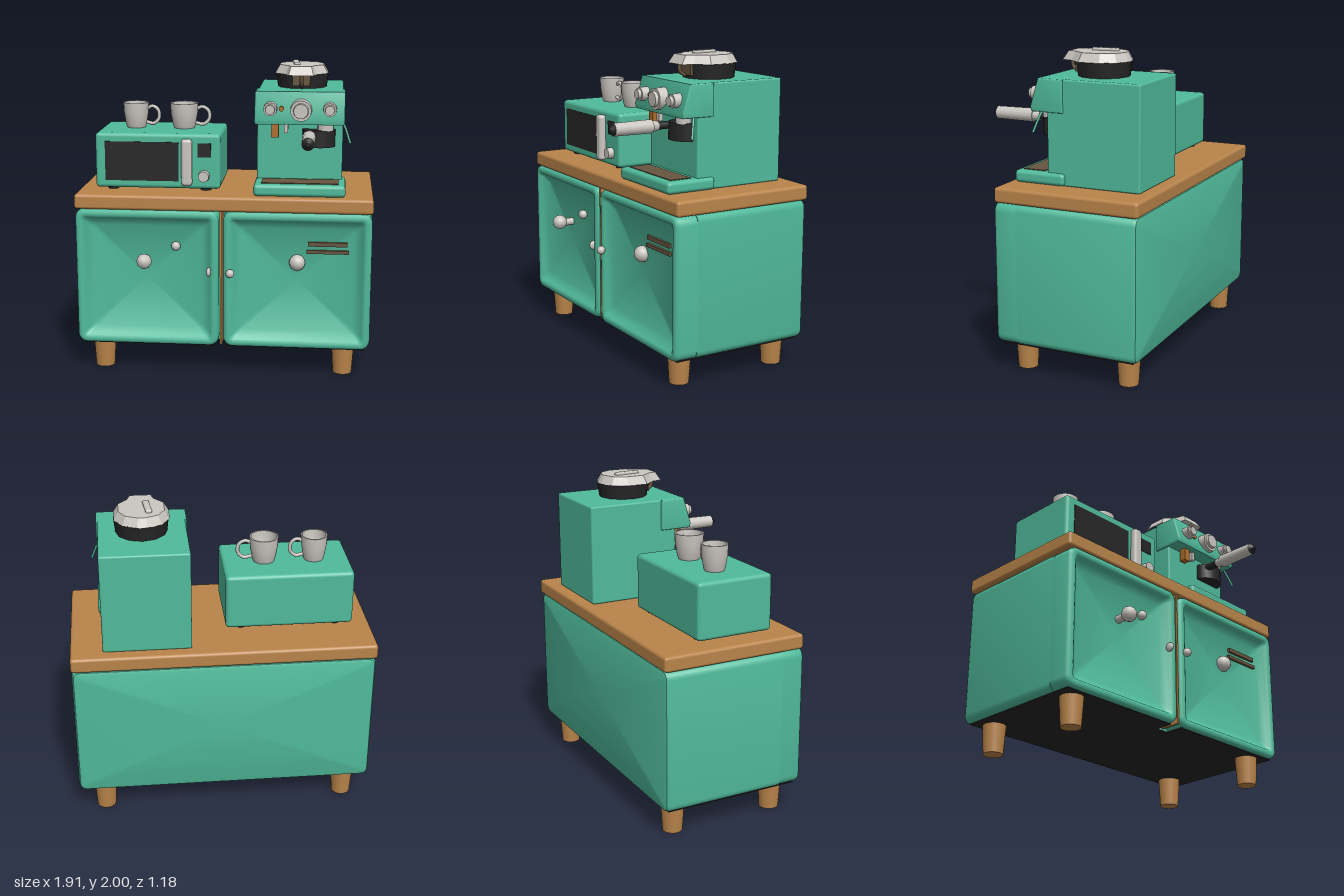
import * as THREE from 'three';
import { toCreasedNormals } from 'three/addons/utils/BufferGeometryUtils.js';
import { RoundedBoxGeometry } from 'three/addons/geometries/RoundedBoxGeometry.js';

const material = (name, color, side = THREE.FrontSide) => {
  const m = new THREE.MeshStandardMaterial({ color, side });
  m.name = name;
  return m;
};

export function createModel() {
  const root = new THREE.Group();
  root.name = 'coffeeStation';
  const green = material('mint green', 0x50ba9a);
  const wood = material('wood', 0xb9844a);
  const white = material('off white', 0xcac6c0, THREE.DoubleSide);
  const black = material('black', 0x262626);
  const brown = material('dark brown', 0x66553f);
  const orange = material('amber', 0xb06f2c);

  const add = (name, geometry, mat, x = 0, y = 0, z = 0, parent = root) => {
    const mesh = new THREE.Mesh(geometry, mat);
    mesh.name = name;
    mesh.position.set(x, y, z);
    parent.add(mesh);
    return mesh;
  };
  // Box given by its extents; r rounds the edges
  const box = (name, mat, [x0, x1], [y0, y1], [z0, z1], r = 0) => {
    const s = [x1 - x0, y1 - y0, z1 - z0];
    const g = r ? new RoundedBoxGeometry(...s, 3, r) : new THREE.BoxGeometry(...s);
    return add(name, g, mat, (x0 + x1) / 2, (y0 + y1) / 2, (z0 + z1) / 2);
  };
  // Cylinder lying along z
  const rod = (name, mat, x, y, z0, z1, r0, r1 = r0, sides = 20) => {
    const g = new THREE.CylinderGeometry(r1, r0, z1 - z0, sides).rotateX(Math.PI / 2);
    return add(name, g, mat, x, y, (z0 + z1) / 2);
  };
  const ball = (name, x, y, z, r, sx = 1) =>
    add(name, new THREE.SphereGeometry(r, 16, 12), white, x, y, z).scale.set(sx, 1, 1);

  // Rounded rectangle rings [inset, z] joined from back to front and capped
  const shell = (name, mat, x0, x1, y0, y1, radius, rings) => {
    const pos = [], index = [], n = 24, cx = (x0 + x1) / 2, cy = (y0 + y1) / 2;
    for (const [inset, z] of rings) {
      const r = Math.max(radius - inset, 0.025);
      const hx = (x1 - x0) / 2 - inset - r, hy = (y1 - y0) / 2 - inset - r;
      for (let i = 0; i < n; i++) {
        const q = Math.floor(i / 6), a = (q + (i % 6) / 5) * Math.PI / 2;
        pos.push(cx + (q === 0 || q === 3 ? hx : -hx) + r * Math.cos(a),
          cy + (q < 2 ? hy : -hy) + r * Math.sin(a), z);
      }
    }
    for (let k = 0; k < rings.length - 1; k++) {
      for (let i = 0; i < n; i++) {
        const a = k * n + i, b = k * n + (i + 1) % n;
        index.push(a, b, b + n, a, b + n, a + n);
      }
    }
    const last = (rings.length - 1) * n;
    const back = pos.length / 3;
    pos.push(cx, cy, rings[0][1], cx, cy, rings.at(-1)[1]);
    for (let i = 0; i < n; i++) {
      const j = (i + 1) % n;
      index.push(back, j, i, back + 1, last + i, last + j);
    }
    const g = new THREE.BufferGeometry();
    g.setAttribute('position', new THREE.Float32BufferAttribute(pos, 3));
    g.setIndex(index);
    return add(name, toCreasedNormals(g, 0.8), mat);
  };

  // Cabinet with two dished doors
  shell('cabinetBody', green, -0.955, 0.95, 0.19, 1.09, 0.05,
    [[0.03, -0.58], [0.01, -0.573], [0, -0.55], [0, 0.22]]);
  const doorRings = [[0, 0.22], [0, 0.345], [0.007, 0.363], [0.022, 0.37], [0.04, 0.37],
    [0.052, 0.362], [0.065, 0.34], [0.11, 0.312]];
  shell('leftDoor', green, 0.003, 0.95, 0.19, 1.09, 0.06, doorRings);
  shell('rightDoor', green, -0.955, -0.027, 0.19, 1.09, 0.06, doorRings);
  box('centreStrip', wood, [-0.018, -0.004], [0.2, 1.09], [0.2, 0.355]);
  box('underside', black, [-0.92, 0.915], [0.185, 0.192], [-0.55, 0.22]);
  for (const [a, b] of [[-0.92, -0.06], [0.035, 0.915]]) {
    box('doorUnderside', black, [a, b], [0.185, 0.192], [0.22, 0.34]);
  }
  box('countertop', wood, [-0.96, 0.955], [1.088, 1.185], [-0.59, 0.365], 0.02);
  for (const x of [-0.8, 0.78]) {
    for (const z of [0.24, -0.46]) {
      add('leg', new THREE.CylinderGeometry(0.074, 0.062, 0.19, 20), wood, x, 0.095, z);
    }
  }

  // Door knobs and bars
  rod('knobStem', white, -0.5, 0.76, 0.31, 0.4, 0.025);
  add('faceted knob', new THREE.IcosahedronGeometry(0.05, 1), white, -0.5, 0.765, 0.41);
  ball('smallKnob', -0.305, 0.85, 0.33, 0.03);
  ball('edgeKnob', -0.09, 0.69, 0.365, 0.03, 0.5);
  ball('edgeKnob', 0.05, 0.69, 0.385, 0.028);
  ball('roundKnob', 0.477, 0.758, 0.325, 0.052);
  box('doorBar', brown, [0.545, 0.795], [0.868, 0.895], [0.3, 0.33]);
  box('doorBar', brown, [0.535, 0.805], [0.82, 0.842], [0.3, 0.33]);

  // Microwave
  box('microwaveBody', green, [-0.845, -0.03], [1.2, 1.56], [-0.31, 0.2], 0.025);
  box('microwaveWindow', black, [-0.78, -0.3], [1.25, 1.505], [0.197, 0.204]);
  box('microwaveHandle', white, [-0.28, -0.21], [1.225, 1.53], [0.19, 0.245], 0.022);
  box('microwaveDisplay', black, [-0.175, -0.09], [1.41, 1.5], [0.197, 0.205]);
  rod('microwaveKnob', white, -0.135, 1.288, 0.195, 0.24, 0.038, 0.034);
  for (const x of [-0.74, -0.13]) {
    for (const z of [-0.24, 0.13]) {
      add('microwaveFoot', new THREE.CylinderGeometry(0.035, 0.035, 0.03, 12), black, x, 1.195, z);
    }
  }

  // Mugs
  const mug = (x, z, r) => {
    const g = new THREE.Group();
    g.name = 'mug';
    g.position.set(x, 1.56, z);
    root.add(g);
    const profile = [[0, 0], [0.74, 0], [0.82, 0.02], [0.97, 0.1], [1, 0.165], [0.9, 0.165],
      [0.85, 0.1], [0.7, 0.03], [0, 0.025]].map(([a, y]) => new THREE.Vector2(a * r, y));
    add('mugCup', toCreasedNormals(new THREE.LatheGeometry(profile, 28), 0.6), white, 0, 0, 0, g);
    const path = new THREE.CatmullRomCurve3([[0.9, 0.125], [1.3, 0.14], [1.75, 0.115], [1.8, 0.06],
      [1.4, 0.025], [0.8, 0.035]].map(([a, y]) => new THREE.Vector3(a * r, y, 0)));
    add('mugHandle', new THREE.TubeGeometry(path, 20, 0.012, 8), white, 0, 0, 0, g);
  };
  mug(-0.617, -0.073, 0.084);
  mug(-0.295, -0.07, 0.092);

  // Coffee machine: body, sloping head, base
  box('machineBody', green, [0.2, 0.752], [1.185, 1.835], [-0.515, 0.1], 0.012);
  const side = new THREE.Shape([[0.0, 1.64], [0.195, 1.64], [0.2, 1.66], [0.15, 1.825], [0, 1.825]]
    .map(p => new THREE.Vector2(...p)));
  const head = new THREE.ExtrudeGeometry(side,
    { depth: 0.55, bevelEnabled: true, bevelSize: 0.01, bevelThickness: 0.012, bevelSegments: 3 });
  head.rotateY(-Math.PI / 2);
  add('machineHead', toCreasedNormals(head, 0.6), green, 0.75);
  box('machineBase', green, [0.19, 0.775], [1.185, 1.262], [-0.02, 0.32], 0.025);
  box('dripTray', brown, [0.24, 0.73], [1.258, 1.267], [0.13, 0.275]);

  // Controls
  for (const [x, y, r, z] of [[0.29, 1.73, 0.045, 0.235], [0.485, 1.722, 0.07, 0.24], [0.667, 1.73, 0.045, 0.235]]) {
    rod('controlDial', white, x, y, 0.16, z, r, r * 0.94, 24);
    rod('dialCap', white, x, y, z, z + 0.02, r * 0.7, r * 0.65, 24);
  }
  rod('indicator', orange, 0.36, 1.73, 0.17, 0.205, 0.016);
  box('waterSpout', orange, [0.295, 0.342], [1.54, 1.64], [0.12, 0.165]);
  box('spoutNozzle', white, [0.375, 0.402], [1.57, 1.64], [0.13, 0.16]);

  // Brewing group and filter handle
  add('brewGroup', new THREE.CylinderGeometry(0.105, 0.105, 0.11, 24), black, 0.598, 1.535, 0.1).scale.z = 0.87;
  add('brewCollar', new THREE.CylinderGeometry(0.05, 0.05, 0.05, 20), white, 0.64, 1.612, 0.13);
  rod('filterNeck', black, 0.54, 1.567, 0.15, 0.27, 0.024);
  rod('filterHandle', white, 0.54, 1.567, 0.3, 0.56, 0.043, 0.04);
  rod('filterHandleCollar', white, 0.54, 1.567, 0.255, 0.3, 0.03, 0.036);
  rod('filterHandleTip', black, 0.54, 1.567, 0.56, 0.588, 0.038, 0.012);
  const wand = new THREE.CatmullRomCurve3([[0.74, 1.66, 0.12], [0.765, 1.61, 0.14], [0.8, 1.51, 0.17]]
    .map(p => new THREE.Vector3(...p)));
  add('steamWand', new THREE.TubeGeometry(wand, 10, 0.008, 6), green);

  // Bean hopper with spouted lid
  add('hopper', new THREE.CylinderGeometry(0.172, 0.16, 0.1, 12), black, 0.48, 1.88, -0.155);
  box('hopperPlate', brown, [0.422, 0.535], [1.855, 1.925], [-0.02, 0.014]);
  const outline = [[0.08, 0.09], [0.1, 0.02], [0.172, -0.06], [0.172, -0.2], [0.12, -0.29], [0.03, -0.328]];
  const points = [...outline, ...outline.map(([x, z]) => [-x, z]).reverse()];
  const lidShape = new THREE.Shape(points.map(([x, z]) => new THREE.Vector2(x, -z)));
  const lid = new THREE.ExtrudeGeometry(lidShape, { depth: 0.055, bevelEnabled: false });
  lid.rotateX(-Math.PI / 2);
  // Draw the upper rim inward for a sloping lid
  const p = lid.attributes.position;
  for (let i = 0; i < p.count; i++) {
    if (p.getY(i) > 0.03) {
      p.setX(i, p.getX(i) * 0.82);
      p.setZ(i, -0.14 + (p.getZ(i) + 0.14) * 0.85);
    }
  }
  lid.computeVertexNormals();
  add('hopperLid', lid, white, 0.477, 1.928);
  const grip = box('lidGrip', white, [0.42, 0.46], [1.975, 2.0], [-0.23, -0.06], 0.01);
  grip.rotation.y = 0.1;
  const hook = new THREE.CatmullRomCurve3([[0.48, 1.94, 0.06], [0.48, 1.88, 0.055], [0.48, 1.855, 0.02]]
    .map(v => new THREE.Vector3(...v)));
  add('hopperHook', new THREE.TubeGeometry(hook, 10, 0.012, 6), brown);

  return root;
}
